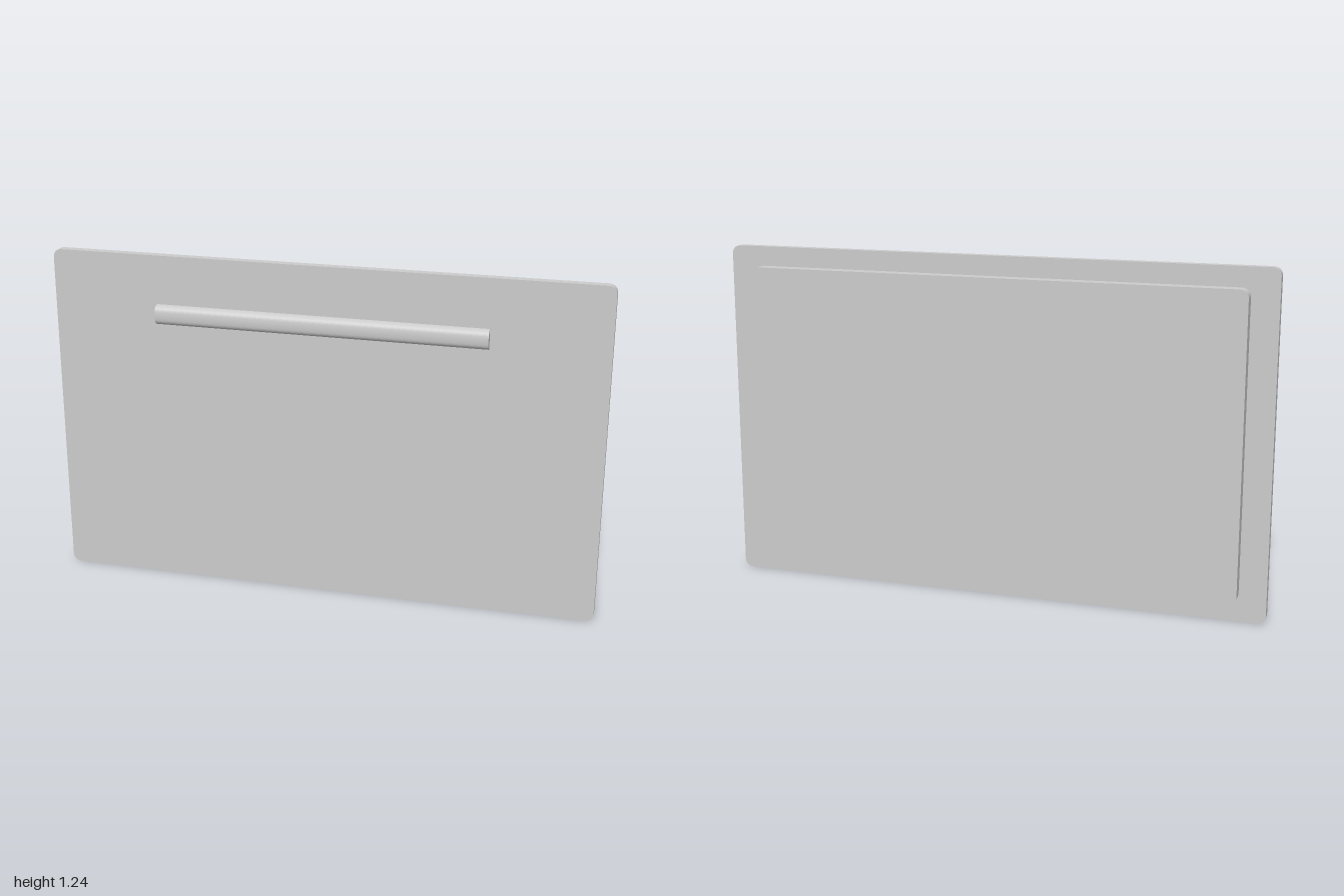
import * as THREE from 'three';

const material = new THREE.MeshStandardMaterial({ color: 0xcccccc });

// Rounded rectangle centred on (cx, cy)
function roundedRect(cx, cy, w, h, r) {
  const s = new THREE.Shape();
  const x = w / 2 - r, y = h / 2 - r;
  s.absarc(cx + x, cy + y, r, 0, Math.PI / 2);
  s.absarc(cx - x, cy + y, r, Math.PI / 2, Math.PI);
  s.absarc(cx - x, cy - y, r, Math.PI, Math.PI * 1.5);
  s.absarc(cx + x, cy - y, r, Math.PI * 1.5, Math.PI * 2);
  s.closePath();
  return s;
}

// Plate extruded along z from zBack to zFront
function plate(name, shape, zBack, zFront) {
  const geometry = new THREE.ExtrudeGeometry(shape, {
    depth: zFront - zBack, bevelEnabled: false, curveSegments: 8,
  });
  geometry.translate(0, 0, zBack);
  const mesh = new THREE.Mesh(geometry, material);
  mesh.name = name;
  return mesh;
}

export function createModel() {
  const model = new THREE.Group();
  model.name = 'drawerFront';

  // Front panel and the smaller raised panel behind it
  model.add(plate('frontPanel', roundedRect(0, 0.62, 2, 1.24, 0.03), -0.03, 0.002));
  model.add(plate('backPanel', roundedRect(0, 0.622, 1.806, 1.094, 0.03), -0.078, -0.03));

  // Handle: D-shaped bar on two slim posts
  const handle = new THREE.Group();
  handle.name = 'handle';
  handle.position.y = 1.041;

  // Profile: shape x becomes depth (z), shape y stays up
  const d = new THREE.Shape();
  d.moveTo(0, -0.036);
  d.bezierCurveTo(0.017, -0.034, 0.025, -0.027, 0.027, -0.014);
  d.quadraticCurveTo(0.029, 0, 0.027, 0.014);
  d.bezierCurveTo(0.025, 0.027, 0.017, 0.034, 0, 0.036);
  d.closePath();
  const length = 1.186;
  const barGeometry = new THREE.ExtrudeGeometry(d, { depth: length, bevelEnabled: false, curveSegments: 10 });
  barGeometry.translate(0, 0, -length / 2);
  barGeometry.rotateY(-Math.PI / 2);
  const bar = new THREE.Mesh(barGeometry, material);
  bar.name = 'handleBar';
  bar.position.z = 0.05;
  handle.add(bar);

  for (const side of [-1, 1]) {
    const name = side > 0 ? 'leftPost' : 'rightPost';
    handle.add(plate(name, roundedRect(side * 0.484, 0, 0.013, 0.03, 0.006), 0, 0.051));
  }
  model.add(handle);
  return model;
}
